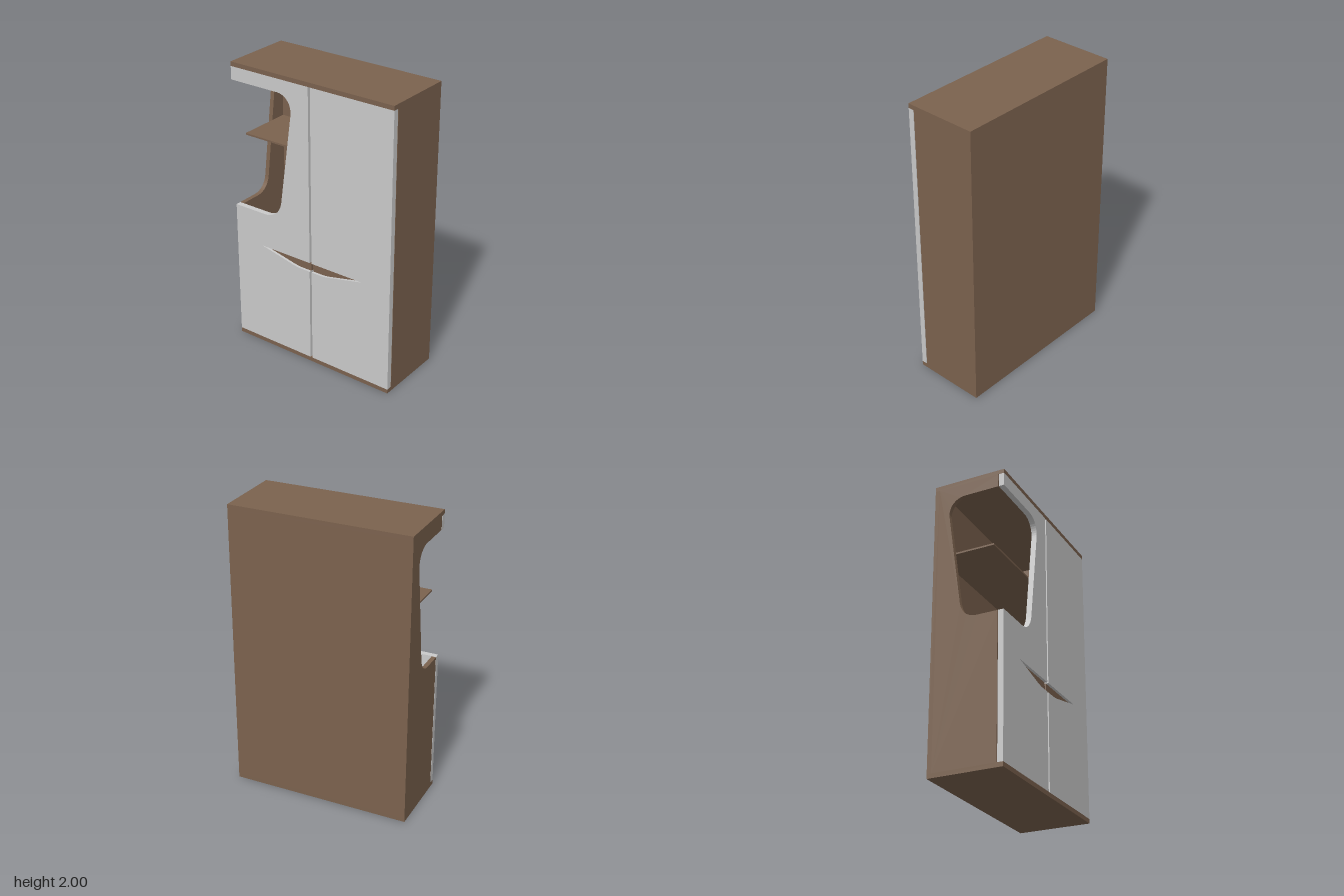
import * as THREE from 'three';

const W = 0.62, D = 0.25, H = 2, T = 0.03; // half width, half depth, height, board
const DOOR_Z = 0.212, BODY_Z = 0.208, GAP = 0.008;

export function createModel() {
  const wood = new THREE.MeshStandardMaterial({ color: 0x7b624e });
  wood.name = 'brown wood';
  const white = new THREE.MeshStandardMaterial({ color: 0xcacaca });
  white.name = 'pale lacquer';

  const model = new THREE.Group();
  model.name = 'cabinet';

  const add = (name, geometry, material, parent = model) => {
    const mesh = new THREE.Mesh(geometry, material);
    mesh.name = name;
    parent.add(mesh);
    return mesh;
  };
  const board = (name, x0, x1, y0, y1, z0, z1) => {
    const mesh = add(name, new THREE.BoxGeometry(x1 - x0, y1 - y0, z1 - z0), wood);
    mesh.position.set((x0 + x1) / 2, (y0 + y1) / 2, (z0 + z1) / 2);
  };
  const extrude = (shape, depth) =>
    new THREE.ExtrudeGeometry(shape, { depth, bevelEnabled: false, curveSegments: 12 });

  // Carcass
  board('bottomBoard', -W, W, 0, T, -D, D);
  board('topBoard', -W, W, H - T, H, -D, D);
  board('backPanel', -W, W, T, H - T, -D, -D + T);
  board('leftSide', W - T, W, T, H - T, -D + T, BODY_Z);
  board('shelf', -W + T, W - T, 1.48, 1.492, -D + T, 0.165);

  // Open side with a rounded, slanted cutout (drawn in z, y)
  const side = new THREE.Shape();
  side.moveTo(-D + T, T);
  side.lineTo(BODY_Z, T);
  side.lineTo(BODY_Z, 1);
  side.lineTo(0.07, 1);
  side.bezierCurveTo(0.0, 1, -0.043, 1.04, -0.053, 1.11);
  side.lineTo(-0.142, 1.75);
  side.bezierCurveTo(-0.15, 1.82, -0.1, 1.88, -0.03, 1.88);
  side.lineTo(BODY_Z, 1.88);
  side.lineTo(BODY_Z, H - T);
  side.lineTo(-D + T, H - T);
  const sideMesh = add('rightSide', extrude(side, T), wood);
  sideMesh.rotation.y = -Math.PI / 2;
  sideMesh.position.x = -W + T;

  // Half of the boat-shaped grip, s = -1 or 1
  const traceGrip = (shape, s) => {
    shape.lineTo(s * GAP, 0.692);
    shape.lineTo(s * 0.08, 0.692);
    shape.quadraticCurveTo(s * 0.12, 0.693, s * 0.17, 0.705);
    shape.lineTo(s * 0.405, 0.757);
    shape.lineTo(s * GAP, 0.757);
  };

  // Doors with recessed grips
  for (const s of [-1, 1]) {
    const door = new THREE.Group();
    door.name = s < 0 ? 'rightDoor' : 'leftDoor';
    model.add(door);

    const shape = new THREE.Shape();
    shape.moveTo(s * GAP, T);
    traceGrip(shape, s);
    shape.lineTo(s * GAP, H - T);
    shape.lineTo(s * W, H - T);
    if (s < 0) {
      // Window open to the outer edge
      shape.lineTo(-W, 1.88);
      shape.lineTo(-0.25, 1.88);
      shape.bezierCurveTo(-0.18, 1.88, -0.135, 1.82, -0.145, 1.75);
      shape.lineTo(-0.235, 1.12);
      shape.bezierCurveTo(-0.248, 1.05, -0.3, 1, -0.37, 1);
      shape.lineTo(-W, 1);
    }
    shape.lineTo(s * W, T);
    add('doorPanel', extrude(shape, D - DOOR_Z), white, door).position.z = DOOR_Z;

    const grip = new THREE.Shape();
    grip.moveTo(s * GAP, 0.692);
    traceGrip(grip, s);
    add('gripInset', extrude(grip, 0.02), wood, door).position.z = DOOR_Z;
  }
  return model;
}
